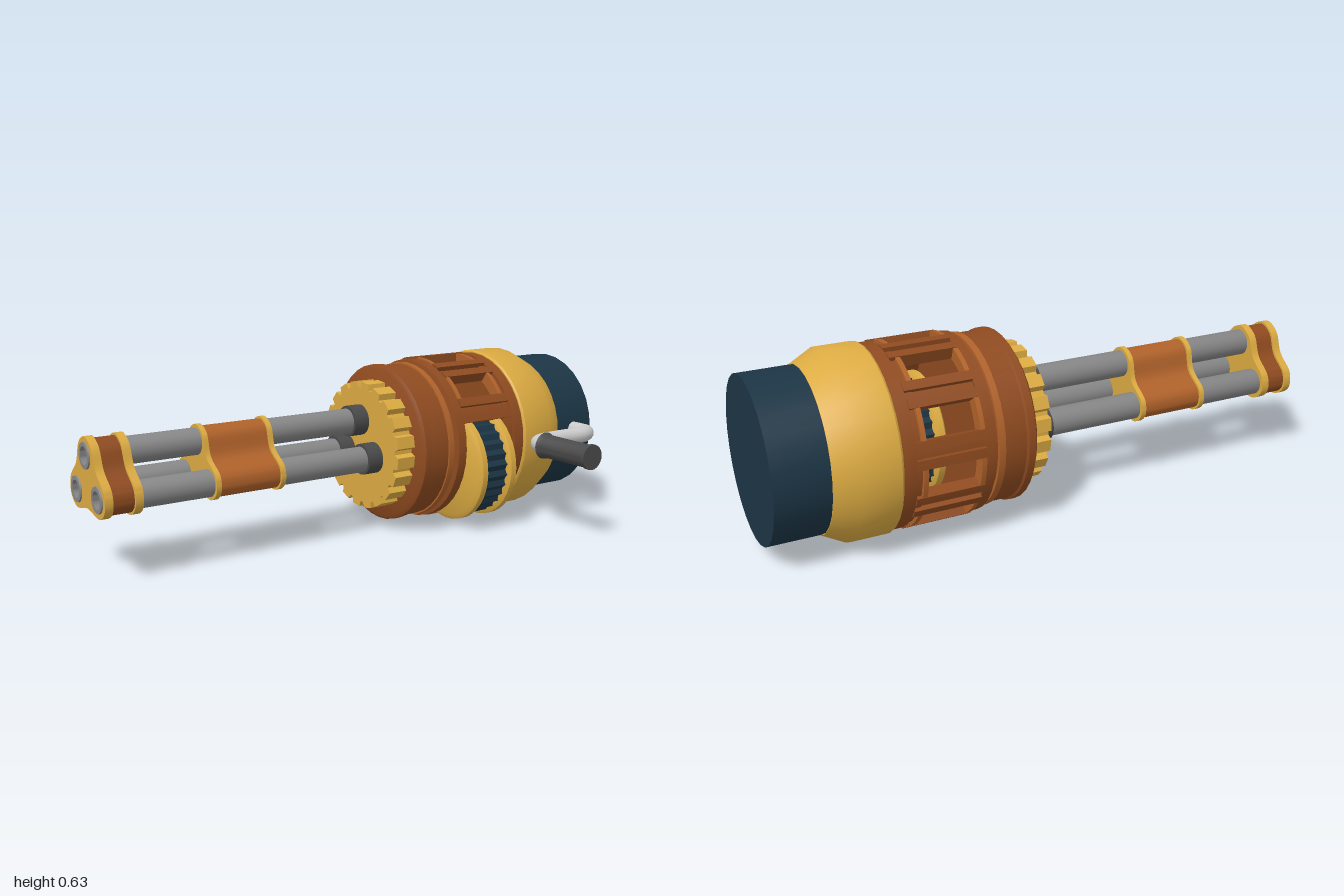
import * as THREE from 'three';
import { toCreasedNormals } from 'three/addons/utils/BufferGeometryUtils.js';

const mat = (color) => new THREE.MeshStandardMaterial({ color });
const GOLD = mat(0xdcab42), BROWN = mat(0x8f4b20), COPPER = mat(0xb0622a), NAVY = mat(0x1c3545);
const STEEL = mat(0x868686), DARK = mat(0x4a4a4a), LIGHT = mat(0xc4c4c4);
const RAD = Math.PI / 180;

export function createModel() {
  const root = new THREE.Group();
  root.name = 'rotaryGun';
  // Everything is laid out around the long x axis of the gun
  const gun = new THREE.Group();
  gun.name = 'gun';
  gun.position.set(0, 0.318, -0.18);
  root.add(gun);

  const add = (name, geometry, material, y = 0, z = 0) => {
    const m = new THREE.Mesh(toCreasedNormals(geometry, 35 * RAD), material);
    m.name = name;
    m.position.set(0, y, z);
    gun.add(m);
    return m;
  };
  // Turned part: profile of [x, radius], from low x to high x
  const turned = (profile, sides = 36) =>
    new THREE.LatheGeometry(profile.map(([x, r]) => new THREE.Vector2(r, x)), sides).rotateZ(-Math.PI / 2);
  const disc = (x0, x1, r, sides) => turned([[x0, 0], [x0, r], [x1, r], [x1, 0]], sides);
  // Cross-section pulled along x; shape coordinates are (-z, y)
  const pulled = (shape, x0, x1) =>
    new THREE.ExtrudeGeometry(shape, { depth: x1 - x0, bevelEnabled: false, curveSegments: 12 })
      .rotateY(Math.PI / 2).translate(x0, 0, 0);
  // Ring sector, angles in degrees from +z towards up
  const sector = (r0, r1, a0, a1) => {
    const pts = [];
    const n = Math.max(2, Math.ceil((a1 - a0) / 6));
    const put = (r, a) => pts.push(new THREE.Vector2(-r * Math.cos(a * RAD), r * Math.sin(a * RAD)));
    for (let i = 0; i <= n; i++) put(r1, a0 + (a1 - a0) * i / n);
    for (let i = n; i >= 0; i--) put(r0, a0 + (a1 - a0) * i / n);
    return new THREE.Shape(pts);
  };

  // Barrels: one on top, two below, hollow at the muzzle
  const seats = [[0, 0.097], [0.09, -0.031], [-0.09, -0.031]].map(([x, y]) => new THREE.Vector2(x, y));
  seats.forEach((s) => {
    add('barrel', turned([[-0.85, 0], [-0.85, 0.03], [-1, 0.03], [-1, 0.044], [-0.99, 0.047], [0.08, 0.047]], 24), STEEL, s.y, -s.x);
    add('barrelSocket', disc(0.01, 0.08, 0.057, 24), DARK, s.y, -s.x);
  });

  // Clamp outline: a lobe round each barrel, slightly pinched sides between
  const clampShape = (r, pinch, holes) => {
    const centre = new THREE.Vector2(0, 0.012);
    const pts = [];
    seats.forEach((s, i) => {
      const out = Math.atan2(s.y - centre.y, s.x - centre.x);
      for (const da of [55, 0, -55]) {
        const a = out + da * RAD;
        pts.push(new THREE.Vector3(s.x + r * Math.cos(a), s.y + r * Math.sin(a), 0));
      }
      const t = seats[(i + 1) % 3];
      const normal = new THREE.Vector2(s.y - t.y, t.x - s.x).normalize();
      pts.push(new THREE.Vector3((s.x + t.x) / 2 + normal.x * pinch, (s.y + t.y) / 2 + normal.y * pinch, 0));
    });
    const curve = new THREE.CatmullRomCurve3(pts, true);
    const shape = new THREE.Shape(curve.getPoints(72).slice(0, -1).map((p) => new THREE.Vector2(p.x, p.y)));
    if (holes) seats.forEach((s) => shape.holes.push(new THREE.Path().absarc(s.x, s.y, 0.045, 0, Math.PI * 2, true)));
    return shape;
  };
  const clamp = (name, x0, x1, r, pinch, rim, material) => {
    add(name, pulled(clampShape(r, pinch, true), x0 + rim / 2, x1 - rim / 2), material);
    for (const x of [x0, x1 - rim])
      add(name + 'Rim', pulled(clampShape(r + 0.008, pinch + 0.008, true), x, x + rim), GOLD);
  };
  clamp('middleClamp', -0.605, -0.34, 0.051, 0.028, 0.018, COPPER);
  clamp('muzzleClamp', -0.995, -0.865, 0.055, 0.04, 0.028, BROWN);

  // Toothed front plate
  const teeth = 20, gear = [];
  for (let i = 0; i < teeth; i++)
    [[0, 0.218], [0.12, 0.24], [0.68, 0.24], [0.8, 0.218]].forEach(([f, r]) => {
      const a = (i + f) / teeth * Math.PI * 2;
      gear.push(new THREE.Vector2(r * Math.cos(a), r * Math.sin(a)));
    });
  add('gearPlate', pulled(new THREE.Shape(gear), 0.07, 0.15), GOLD);

  // Housing in front of and behind the cage
  add('frontHousing', turned([[0.145, 0], [0.145, 0.28], [0.155, 0.295], [0.18, 0.295], [0.185, 0.288], [0.265, 0.288],
    [0.27, 0.282], [0.295, 0.282], [0.3, 0.303], [0.335, 0.303], [0.335, 0]]), BROWN);
  add('frontBand', turned([[0.262, 0.28], [0.262, 0.294], [0.285, 0.294], [0.285, 0.28]]), COPPER);
  add('rearHousing', turned([[0.54, 0], [0.54, 0.297], [0.565, 0.297], [0.565, 0.306], [0.615, 0.306], [0.615, 0]]), BROWN);

  // Cage wall: windows over the top and back, a wide opening at the front for the drum
  const windows = [46, 82, 118, 154, 190, 226], half = 10;
  let from = 20;
  for (const w of [...windows, 295]) {
    add('cageWall', pulled(sector(0.265, 0.292, from, w - half), 0.33, 0.545), BROWN);
    from = w + half;
  }
  for (const w of windows) {
    for (const s of [-1, 1]) {
      const a = w + s * (half + 2.5);
      add('windowBar', pulled(sector(0.27, 0.31, a - 3, a + 3), 0.335, 0.565), BROWN);
    }
    for (const x of [0.335, 0.53])
      add('windowSill', pulled(sector(0.265, 0.308, w - half, w + half), x, x + 0.016), COPPER);
  }
  for (const a of [21, 284]) add('openingBar', pulled(sector(0.265, 0.306, a - 2, a + 2), 0.335, 0.565), BROWN);

  // Ammunition drum poking out low at the front
  const dy = -0.083, dz = 0.16;
  for (const x of [0.35, 0.487])
    add('drumFlange', turned([[x, 0], [x, 0.192], [x + 0.01, 0.21], [x + 0.033, 0.21], [x + 0.043, 0.192], [x + 0.043, 0]], 40), GOLD, dy, dz);
  const ribs = [];
  for (let i = 0; i < 60; i++) {
    const a = i / 60 * Math.PI * 2, r = i % 2 ? 0.196 : 0.186;
    ribs.push(new THREE.Vector2(r * Math.cos(a), r * Math.sin(a)));
  }
  add('drumCore', pulled(new THREE.Shape(ribs), 0.385, 0.495), NAVY, dy, dz);

  // Rear bell and end cap
  add('rearBell', turned([[0.61, 0], [0.61, 0.31], [0.617, 0.315], [0.745, 0.315], [0.822, 0.274], [0.822, 0]], 32), GOLD);
  add('endCap', disc(0.8, 1, 0.272, 28), NAVY);

  // Side crank: bent arm and grip
  const arm = new THREE.CatmullRomCurve3([[0.91, 0.22], [0.91, 0.3], [0.905, 0.342], [0.87, 0.362], [0.76, 0.362],
    [0.65, 0.368], [0.615, 0.385], [0.605, 0.42], [0.605, 0.46]].map(([x, z]) => new THREE.Vector3(x, 0.007, z)));
  add('crankArm', new THREE.TubeGeometry(arm, 48, 0.031, 14), LIGHT);
  const grip = new THREE.LatheGeometry([[0, 0.425], [0.044, 0.425], [0.05, 0.43], [0.043, 0.45], [0.042, 0.652],
    [0.046, 0.656], [0.046, 0.67], [0, 0.67]].map(([r, z]) => new THREE.Vector2(r, z)), 24);
  add('crankGrip', grip.rotateX(Math.PI / 2).translate(0.605, 0.007, 0), DARK);

  return root;
}
